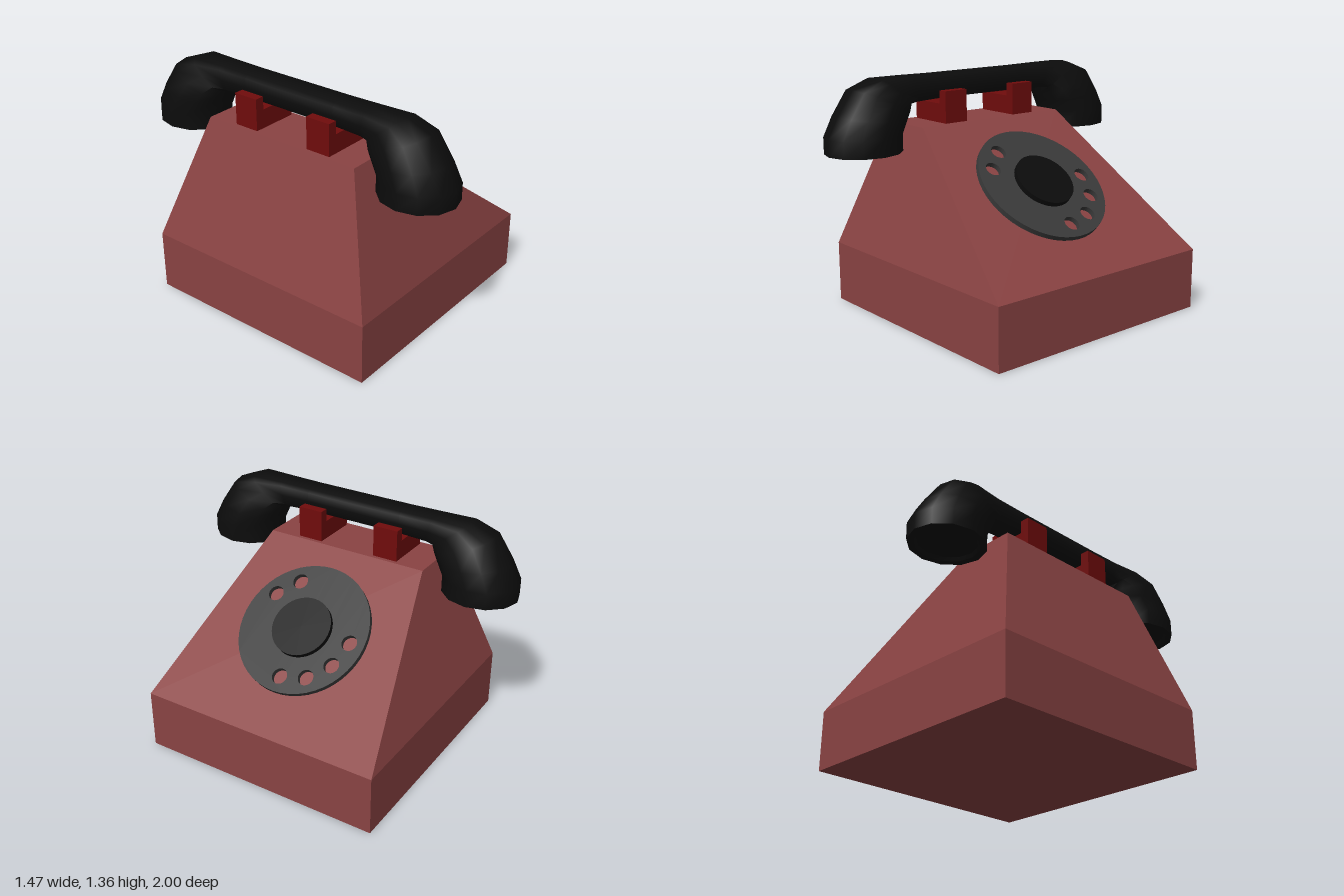
import * as THREE from 'three';
import { toCreasedNormals } from 'three/addons/utils/BufferGeometryUtils.js';

const RED = 0x8a4343, CRADLE = 0x700c0c, GREY = 0x3a3a3a, BLACK = 0x0c0c0c;

function part(name, geometry, color) {
  const mesh = new THREE.Mesh(geometry, new THREE.MeshStandardMaterial({ color }));
  mesh.name = name;
  return mesh;
}

// Skin a list of equal-length rings and cap both ends
function loft(rings, crease) {
  const n = rings[0].length, index = [];
  for (let r = 0; r < rings.length - 1; r++) {
    for (let i = 0; i < n; i++) {
      const a = r * n + i, b = r * n + (i + 1) % n;
      index.push(a, b, b + n, a, b + n, a + n);
    }
  }
  const last = (rings.length - 1) * n;
  for (let i = 1; i < n - 1; i++) {
    index.push(0, i + 1, i, last, last + i, last + i + 1);
  }
  const geo = new THREE.BufferGeometry();
  geo.setAttribute('position', new THREE.Float32BufferAttribute(rings.flat(2), 3));
  geo.setIndex(index);
  geo.computeVertexNormals();
  return toCreasedNormals(geo, crease);
}

// Horizontal rectangle for the body
const rect = (x0, x1, z, y) => [[x1, y, z], [x1, y, -z], [x0, y, -z], [x0, y, z]];

// Twelve-sided handset section between an outer and an inner point in the z-y plane
function section([oz, oy, iz, iy, w, e]) {
  const ring = [];
  const soft = v => Math.sign(v) * Math.pow(Math.abs(v), e);
  for (let i = 0; i < 12; i++) {
    const t = i * Math.PI / 6;
    const c = Math.abs(Math.cos(t)) < 1e-6 ? 0 : soft(Math.cos(t));
    const s = Math.abs(Math.sin(t)) < 1e-6 ? 0 : soft(Math.sin(t));
    ring.push([-0.348 + w * s, (oy + iy) / 2 + c * (oy - iy) / 2, (oz + iz) / 2 + c * (oz - iz) / 2]);
  }
  return ring;
}

function createHandset() {
  // outer z, outer y, inner z, inner y, half width, roundness
  const half = [
    [0.95, 0.975, 0.61, 0.975, 0.155, 1],
    [0.96, 0.955, 0.60, 0.955, 0.165, 1],
    [1.00, 0.955, 0.56, 0.955, 0.2, 1],
    [1.00, 1.05, 0.56, 1.05, 0.2, 1],
    [0.94, 1.16, 0.53, 1.12, 0.183, 0.9],
    [0.84, 1.30, 0.515, 1.16, 0.158, 0.75],
    [0.70, 1.355, 0.50, 1.20, 0.115, 0.6],
    [0.50, 1.355, 0.46, 1.205, 0.09, 0.5],
    [0.30, 1.352, 0.30, 1.212, 0.088, 0.5],
  ];
  const other = half.map(([oz, oy, iz, iy, w, e]) => [-oz, oy, -iz, iy, w, e]).reverse();
  return part('handset', loft([...half, ...other].map(section), 0.9), BLACK);
}

function createDial() {
  const dial = new THREE.Group();
  dial.name = 'dial';

  // Finger wheel with six holes
  const disc = new THREE.Shape().absarc(0, 0, 0.39, 0, Math.PI * 2);
  for (const deg of [0, 30, 60, 90, -120, -150]) {
    const a = THREE.MathUtils.degToRad(deg);
    disc.holes.push(new THREE.Path().absarc(0.3 * Math.cos(a), 0.3 * Math.sin(a), 0.045, 0, Math.PI * 2, true));
  }
  const wheel = new THREE.ExtrudeGeometry(disc, { depth: 0.03, bevelEnabled: false, curveSegments: 24 });
  dial.add(part('fingerWheel', toCreasedNormals(wheel, 0.6), GREY));

  // Centre hub
  const hub = new THREE.CylinderGeometry(0.175, 0.175, 0.06, 40).rotateX(Math.PI / 2).translate(0, 0, 0.03);
  dial.add(part('dialHub', hub, BLACK));

  // Lay the dial on the sloping face: local x runs downhill, local z is the face normal
  const down = new THREE.Vector3(0.918, -0.73, 0).normalize();
  const normal = new THREE.Vector3(0.73, 0.918, 0).normalize();
  const basis = new THREE.Matrix4().makeBasis(down, new THREE.Vector3(0, 0, -1), normal);
  dial.quaternion.setFromRotationMatrix(basis);
  dial.position.set(0.23, 0.75, 0);
  return dial;
}

// U-shaped rest that holds the handle between two prongs
function createCradle(z) {
  const u = new THREE.Shape();
  [[-0.14, 0], [0.14, 0], [0.14, 0.185], [0.085, 0.185], [0.085, 0.11],
    [-0.085, 0.11], [-0.085, 0.185], [-0.14, 0.185]]
    .forEach(([x, y], i) => (i ? u.lineTo(x, y) : u.moveTo(x, y)));
  const geo = new THREE.ExtrudeGeometry(u, { depth: 0.15, bevelEnabled: false });
  geo.translate(-0.348, 1.078, z - 0.075);
  return part('cradle', geo, CRADLE);
}

export function createModel() {
  const phone = new THREE.Group();
  phone.name = 'telephone';

  // Wedge-shaped body on a square base
  phone.add(part('body', loft([
    rect(-0.733, 0.733, 0.733, 0),
    rect(-0.733, 0.733, 0.733, 0.35),
    rect(-0.51, -0.185, 0.5, 1.08),
  ], 0.1), RED));

  phone.add(createDial());
  for (const side of [1, -1]) phone.add(createCradle(side * 0.248));
  phone.add(createHandset());
  return phone;
}
